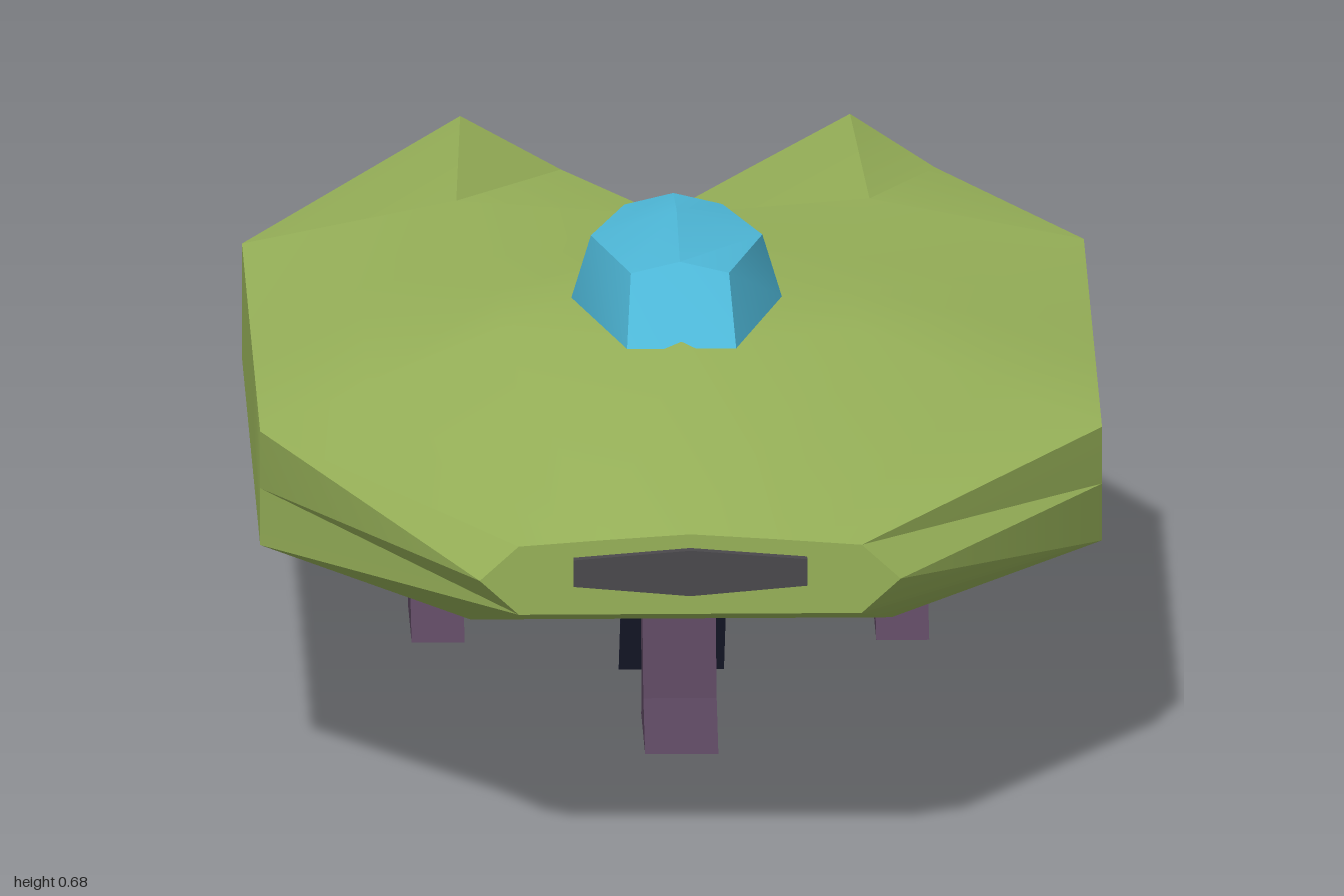
import * as THREE from 'three';
import { toCreasedNormals } from 'three/addons/utils/BufferGeometryUtils.js';

const paint = (color) => new THREE.MeshStandardMaterial({ color, side: THREE.DoubleSide });
const green = paint(0x96b058);
const blue = paint(0x4db6d6);
const purple = paint(0x56425a);
const navy = paint(0x24263e);
const grey = paint(0x4a484c);
const maroon = paint(0x4a282c);

function part(name, geometry, material, crease = 0.5) {
  const mesh = new THREE.Mesh(toCreasedNormals(geometry, crease), material);
  mesh.name = name;
  return mesh;
}

// Skin over rings of [x, y, z], listed front to back, each anticlockwise from the front
function loft(rings, { closed = true, capFront = false, capBack = false } = {}) {
  const n = rings[0].length;
  const index = [];
  for (let i = 0; i < rings.length - 1; i++) {
    for (let j = 0; j < (closed ? n : n - 1); j++) {
      const k = (j + 1) % n;
      const a = i * n + j, b = i * n + k, c = a + n, d = b + n;
      index.push(a, c, b, b, c, d);
    }
  }
  const last = (rings.length - 1) * n;
  for (let j = 1; j < n - 1; j++) {
    if (capFront) index.push(0, j, j + 1);
    if (capBack) index.push(last, last + j + 1, last + j);
  }
  const geometry = new THREE.BufferGeometry();
  geometry.setAttribute('position', new THREE.Float32BufferAttribute(rings.flat(2), 3));
  geometry.setIndex(index);
  return geometry.toNonIndexed();
}

const flip = (ring) => ring.map(([x, y, z]) => [-x, y, z]).reverse();

// Completes a ring from its +x half, which starts and ends on the centre line
const mirrorHalf = (half) => [...half, ...flip(half).slice(1, -1)];

// Half section of the main body: belly, side wall, shoulder and spine
const section = (z, shoulders) => mirrorHalf([
  [0, 0.2, z], [0.27, 0.2, z], [0.54, 0.3, z], [0.54, 0.375, z], [0.54, 0.45, z], ...shoulders,
]);

function body() {
  const nose = mirrorHalf([
    [0, 0.33], [0.11, 0.33], [0.22, 0.33], [0.27, 0.375], [0.22, 0.42],
    [0.165, 0.424], [0.11, 0.428], [0, 0.435],
  ].map(([x, y]) => [x, y, 0.985]));
  return loft([
    nose,
    section(0.48, [[0.4, 0.492, 0.4], [0.23, 0.55, 0.36], [0, 0.57, 0.5]]),
    section(0.1, [[0.4, 0.503, 0.1], [0.22, 0.55, 0.13], [0, 0.57, 0]]),
    section(-0.1, [[0.4, 0.495, -0.1], [0.22, 0.538, -0.1], [0, 0.548, -0.1]]),
    section(-0.53, [[0.4, 0.478, -0.53], [0.265, 0.505, -0.53], [0, 0.485, -0.53]]),
  ], { capFront: true });
}

// Tail boom with a recessed engine nozzle, on one side
function tail(side) {
  const hand = (ring) => (side > 0 ? ring : flip(ring));
  const root = [[0, 0.2], [0.27, 0.2], [0.54, 0.3], [0.54, 0.45], [0.265, 0.505], [0, 0.485]]
    .map(([x, y]) => [x, y, -0.53]);
  const end = [
    [0.12, 0.32, -1], [0.25, 0.275, -0.965], [0.36, 0.32, -1],
    [0.36, 0.43, -1], [0.25, 0.51, -0.965], [0.12, 0.43, -1],
  ];
  const inset = (k, dz) => end.map(([x, y, z]) => [0.245 + (x - 0.245) * k, 0.385 + (y - 0.385) * k, z + dz]);
  const group = new THREE.Group();
  group.name = side > 0 ? 'leftTail' : 'rightTail';
  group.add(
    part('tailBoom', loft([root, end].map(hand)), green),
    part('engineNozzle', loft([end, inset(0.72, 0.015), inset(0.55, 0.09), inset(0, 0.12)].map(hand)), maroon, 0.3),
  );
  return group;
}

// Arch of the canopy from the +x base over the ridge to the -x base
function canopyArch(base, top, ridge) {
  const half = [base, top, ridge];
  return [...half, ...flip(half).slice(1)];
}

function canopy() {
  return loft([
    canopyArch([0.07, 0.563, 0.508], [0.063, 0.64, 0.415], [0, 0.655, 0.415]),
    canopyArch([0.135, 0.563, 0.23], [0.11, 0.645, 0.23], [0, 0.678, 0.23]),
    canopyArch([0.07, 0.563, -0.02], [0.063, 0.64, 0.045], [0, 0.655, 0.045]),
  ], { closed: false, capFront: true, capBack: true });
}

// Extrudes a [z, y] outline sideways, centred on x = 0
function sideways(points, width) {
  const shape = new THREE.Shape(points.map(([z, y]) => new THREE.Vector2(z, y)));
  return new THREE.ExtrudeGeometry(shape, { depth: width, bevelEnabled: false })
    .translate(0, 0, -width / 2)
    .rotateY(-Math.PI / 2);
}

// Rear leg: the outline is sheared outwards as it goes down
function rearLeg(side) {
  const geometry = sideways([
    [-0.313, 0.205], [-0.3, 0.15], [-0.287, 0.07], [-0.313, 0.025],
    [-0.11, 0.025], [-0.18, 0.07], [-0.215, 0.15], [-0.233, 0.205],
  ], 0.068);
  const p = geometry.attributes.position;
  for (let i = 0; i < p.count; i++) {
    const y = p.getY(i);
    const splay = y > 0.18 ? 0.195 : y > 0.1 ? 0.237 : 0.298;
    p.setX(i, p.getX(i) + side * splay);
  }
  return part(side > 0 ? 'leftRearLeg' : 'rightRearLeg', geometry, purple);
}

export function createModel() {
  const model = new THREE.Group();
  model.name = 'spacecraft';

  model.add(part('hull', body(), green), tail(1), tail(-1));
  model.add(part('canopy', canopy(), blue));

  // Dark intake plate on the nose
  const plate = [[-0.15, 0.37], [0, 0.357], [0.15, 0.37], [0.15, 0.405], [0, 0.417], [-0.15, 0.405]];
  const plateRings = [1, 0.98].map((z) => plate.map(([x, y]) => [x, y, z]));
  model.add(part('noseIntake', loft(plateRings, { capFront: true }), grey));

  // Landing legs
  const frontLeg = sideways([
    [0.245, 0.205], [0.32, 0.085], [0.3, 0.03], [0.517, 0.03], [0.42, 0.08], [0.357, 0.205],
  ], 0.094);
  model.add(part('frontLeg', frontLeg, purple), rearLeg(1), rearLeg(-1));

  // Boarding ramp hanging from its hatch in the belly
  const ramp = sideways([[0.122, 0.2], [0.122, 0.176], [-0.06, 0], [-0.064, 0.003], [0.117, 0.178], [0.117, 0.2]], 0.135);
  const hatch = new THREE.BoxGeometry(0.135, 0.006, 0.24).translate(0, 0.2, 0);
  model.add(part('ramp', ramp, navy), part('hatch', hatch, navy));

  return model;
}
